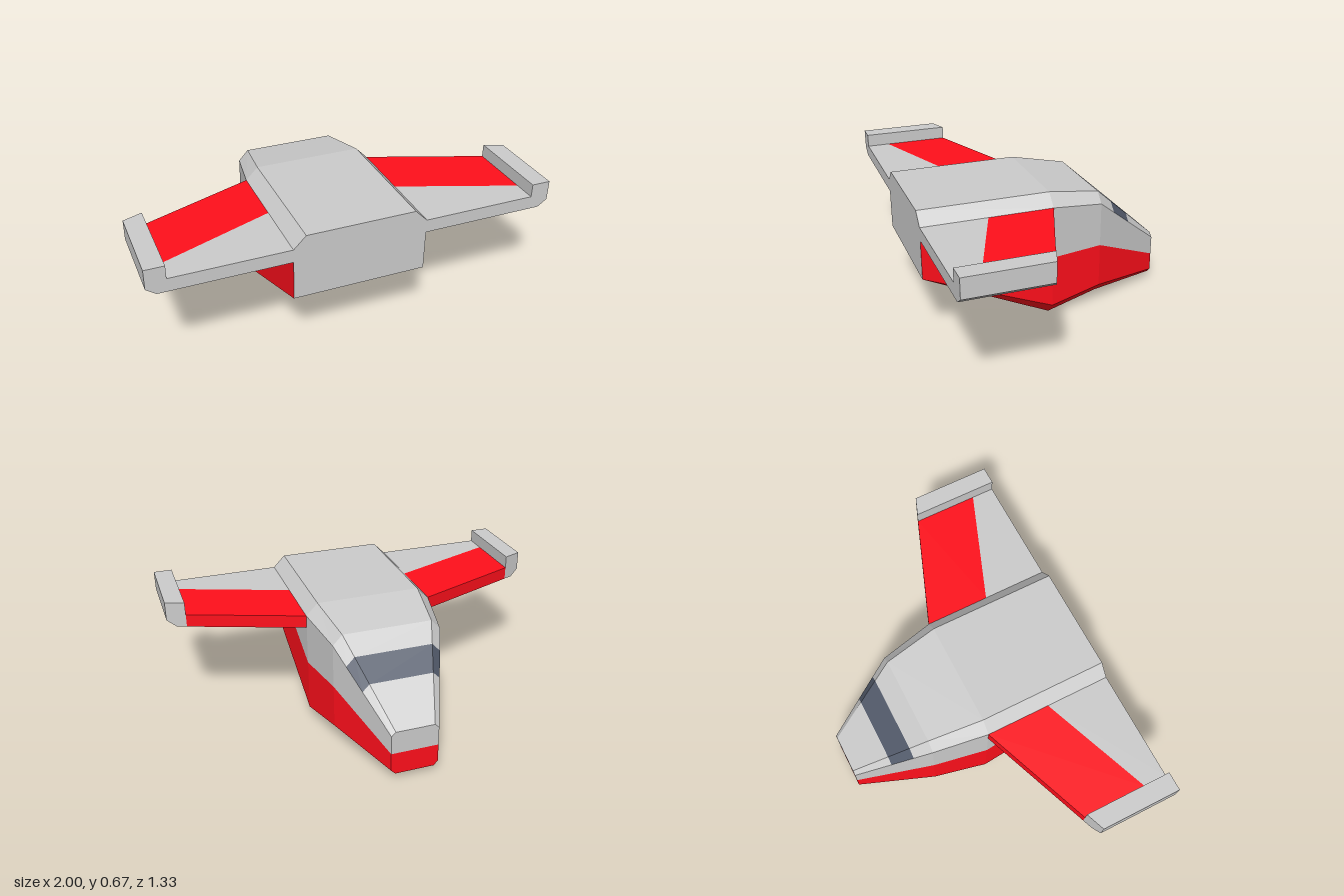
import * as THREE from 'three';

const paint = (color) => new THREE.MeshStandardMaterial({ color, flatShading: true });
const grey = paint(0xcccccc), red = paint(0xff0f1b), glass = paint(0x525a6a);

function addMesh(group, name, geometry, material) {
  const mesh = new THREE.Mesh(geometry, material);
  mesh.name = name;
  group.add(mesh);
}

// Flat-shaded skin between rows of points
function loft(rows) {
  const pos = [];
  for (let i = 0; i < rows.length - 1; i++) {
    for (let j = 0; j < rows[i].length - 1; j++) {
      const a = rows[i][j], b = rows[i][j + 1], c = rows[i + 1][j + 1], d = rows[i + 1][j];
      pos.push(...a, ...b, ...c, ...a, ...c, ...d);
    }
  }
  const g = new THREE.BufferGeometry();
  g.setAttribute('position', new THREE.Float32BufferAttribute(pos, 3));
  g.computeVertexNormals();
  return g;
}

// Half section: keel, chine, paint line, shoulder, roof
const section = (z, xIn, xOut, keel, chine, line, shoulder, roof, keelX = xIn) =>
  [[keelX, keel, z], [xOut, chine, z], [xOut, line, z], [xOut, shoulder, z], [xIn, roof, z]];
const mirror = (pts) => pts.map(([x, y, z]) => [-x, y, z]);
const mix = (a, b, t) => a.map((p, i) => p.map((v, k) => v + (b[i][k] - v) * t));

const nose = section(-0.667, 0.1, 0.122, 0.032, 0.055, 0.15, 0.249, 0.27);
const brow = section(-0.28, 0.233, 0.282, 0.054, 0.107, 0.336, 0.565, 0.618);
const middle = section(0, 0.272, 0.333, 0, 0.065, 0.336, 0.605, 0.667);
const stern = section(0.667, 0.272, 0.333, 0.336, 0.336, 0.605, 0.605, 0.667, 0.333);
const glassFront = mix(brow, nose, 0.515), glassBack = mix(brow, nose, 0.235);

const lower = (s) => [...mirror(s.slice(0, 3)).reverse(), ...s.slice(0, 3)];
const upper = (s) => [...s.slice(2), ...mirror(s.slice(2)).reverse()];
const roof = (s) => [...s.slice(3), ...mirror(s.slice(3)).reverse()];
const flank = (s) => s.slice(2, 4);

function buildBody() {
  const body = new THREE.Group();
  body.name = 'body';
  addMesh(body, 'lowerHull', loft([nose, brow, middle, stern].map(lower)), red);
  addMesh(body, 'upperHull', loft([brow, middle, stern].map(upper)), grey);

  // Sloping nose with the window band across roof and bevels
  addMesh(body, 'noseRoof', loft([nose, glassFront].map(roof)), grey);
  addMesh(body, 'window', loft([glassFront, glassBack].map(roof)), glass);
  addMesh(body, 'browRoof', loft([glassBack, brow].map(roof)), grey);
  addMesh(body, 'leftNoseSide', loft([nose, brow].map(flank)), grey);
  addMesh(body, 'rightNoseSide', loft([brow, nose].map((s) => mirror(flank(s)))), grey);

  // End faces
  const noseLow = nose.slice(0, 3), noseHigh = nose.slice(2);
  addMesh(body, 'noseLowerFace', loft([mirror(noseLow), noseLow]), red);
  addMesh(body, 'noseUpperFace', loft([mirror(noseHigh), noseHigh]), grey);
  addMesh(body, 'sternFace', loft([stern, mirror(stern)]), grey);
  return body;
}

const ROOT = 0.333, TIP = 0.905, TAIL = 0.667, UNDER = 0.538, OVER = 0.605;
const leading = (x) => (Math.abs(x) - ROOT) * 0.38;
const shapeOf = (pts) => new THREE.Shape(pts.map(([x, y]) => new THREE.Vector2(x, y)));

// Horizontal plate from plan points (x, z)
function plate(side, pts) {
  const g = new THREE.ExtrudeGeometry(shapeOf(pts.map(([x, z]) => [side * x, -z])),
    { depth: OVER - UNDER, bevelEnabled: false });
  return g.rotateX(-Math.PI / 2).translate(0, UNDER, 0);
}

function buildWing(side) {
  const wing = new THREE.Group();
  wing.name = side > 0 ? 'leftWing' : 'rightWing';
  const band = 0.333;
  addMesh(wing, 'wingFront', plate(side,
    [[ROOT, 0], [TIP, leading(TIP)], [TIP, leading(TIP) + band], [ROOT, band]]), red);
  addMesh(wing, 'wingRear', plate(side,
    [[ROOT, band], [TIP, leading(TIP) + band], [TIP, TAIL], [ROOT, TAIL]]), grey);

  // Raised tip, its front end swept along the leading edge
  const profile = [[TIP, UNDER], [0.953, UNDER], [1, 0.572], [1, 0.671], [TIP, 0.671]];
  const tip = new THREE.ExtrudeGeometry(shapeOf(profile.map(([x, y]) => [side * x, y])),
    { depth: 1, bevelEnabled: false });
  const p = tip.attributes.position;
  for (let i = 0; i < p.count; i++) p.setZ(i, p.getZ(i) > 0.5 ? TAIL : leading(p.getX(i)));
  tip.computeVertexNormals();
  addMesh(wing, 'wingTip', tip, grey);
  return wing;
}

export function createModel() {
  const model = new THREE.Group();
  model.name = 'spacecraft';
  model.add(buildBody(), buildWing(1), buildWing(-1));
  return model;
}
